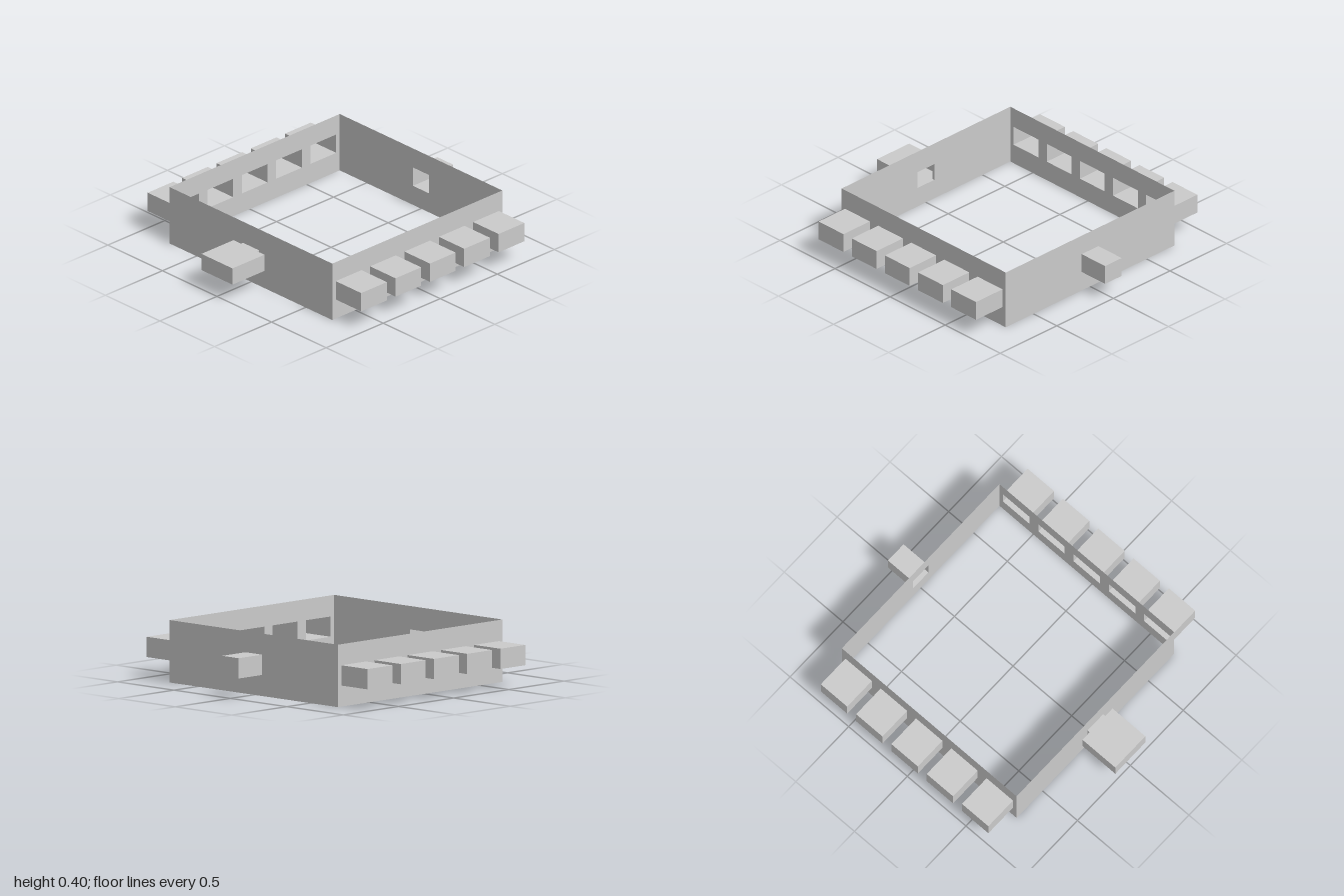
import * as THREE from 'three';

const SIDE = 1.49;      // square footprint of the wall ring
const HALF = SIDE / 2;
const HEIGHT = 0.4;
const CENTRE_X = 0.043; // the ring sits slightly off centre in x

const material = new THREE.MeshStandardMaterial({
  color: 0xcccccc, flatShading: true, side: THREE.DoubleSide,
});

function mesh(name, geometry) {
  const m = new THREE.Mesh(geometry, material);
  m.name = name;
  return m;
}

// Thin upright panel with rectangular openings {x, y0, y1, w}
function panel(name, x0, x1, y0, y1, openings) {
  const rect = (target, a, b, c, d) =>
    target.moveTo(a, c).lineTo(b, c).lineTo(b, d).lineTo(a, d).closePath();
  const shape = rect(new THREE.Shape(), x0, x1, y0, y1);
  for (const o of openings) {
    shape.holes.push(rect(new THREE.Path(), o.x - o.w / 2, o.x + o.w / 2, o.y0, o.y1));
  }
  return mesh(name, new THREE.ShapeGeometry(shape));
}

// Hollow box reaching outwards from z0 to z1, open towards the room;
// with capped = false the outer end is open too
function bay(name, o, z0, z1, capped = true) {
  const g = new THREE.BoxGeometry(o.w, o.y1 - o.y0, z1 - z0);
  // face order: +x, -x, +y, -y, +z, -z, six indices each
  g.setIndex(Array.from(g.index.array).slice(0, capped ? 30 : 24));
  g.clearGroups();
  g.translate(o.x, (o.y0 + o.y1) / 2, (z0 + z1) / 2);
  return mesh(name, g);
}

// One side of the ring, built facing +z and then turned into place
function side(name, turn, openings) {
  const group = new THREE.Group();
  group.name = name;
  group.rotation.y = turn;
  group.add(panel(name + 'Panel', -HALF, HALF, 0, HEIGHT, openings));
  return group;
}

export function createModel() {
  const model = new THREE.Group();
  model.name = 'walledHall';
  const ring = new THREE.Group();
  ring.name = 'wallRing';
  ring.position.x = CENTRE_X;
  model.add(ring);

  // Long walls, each with a row of five alcoves
  const alcoves = [-2, -1, 0, 1, 2].map((i) => ({ x: i * 0.301, y0: 0.135, y1: 0.265, w: 0.225 }));
  for (const [name, turn] of [['frontWall', 0], ['backWall', Math.PI]]) {
    const wall = side(name, turn, alcoves);
    alcoves.forEach((o, i) => wall.add(bay('alcove' + (i + 1), o, HALF, 0.978)));
    wall.children[0].position.z = HALF;
    ring.add(wall);
  }

  // Left wall with a single small niche
  const niche = { x: 0, y0: 0.135, y1: 0.265, w: 0.147 };
  const left = side('leftWall', Math.PI / 2, [niche]);
  left.children[0].position.z = HALF;
  left.add(bay('niche', niche, HALF, 1 - CENTRE_X));
  ring.add(left);

  // Right wall with a doorway, short passage and wider chamber
  const door = { x: 0, y0: 0.135, y1: 0.25, w: 0.147 };
  const chamber = { x: 0, y0: 0.135, y1: 0.25, w: 0.284 };
  const chamberStart = 0.72 + CENTRE_X;
  const right = side('rightWall', -Math.PI / 2, [door]);
  right.children[0].position.z = HALF;
  right.add(bay('passage', door, HALF, chamberStart, false));
  right.add(bay('chamber', chamber, chamberStart, 1 + CENTRE_X));
  // Chamber wall strips on either side of the passage
  for (const s of [-1, 1]) {
    const a = s * door.w / 2, b = s * chamber.w / 2;
    const strip = panel('chamberFrontStrip', Math.min(a, b), Math.max(a, b), chamber.y0, chamber.y1, []);
    strip.position.z = chamberStart;
    right.add(strip);
  }
  ring.add(right);

  return model;
}
